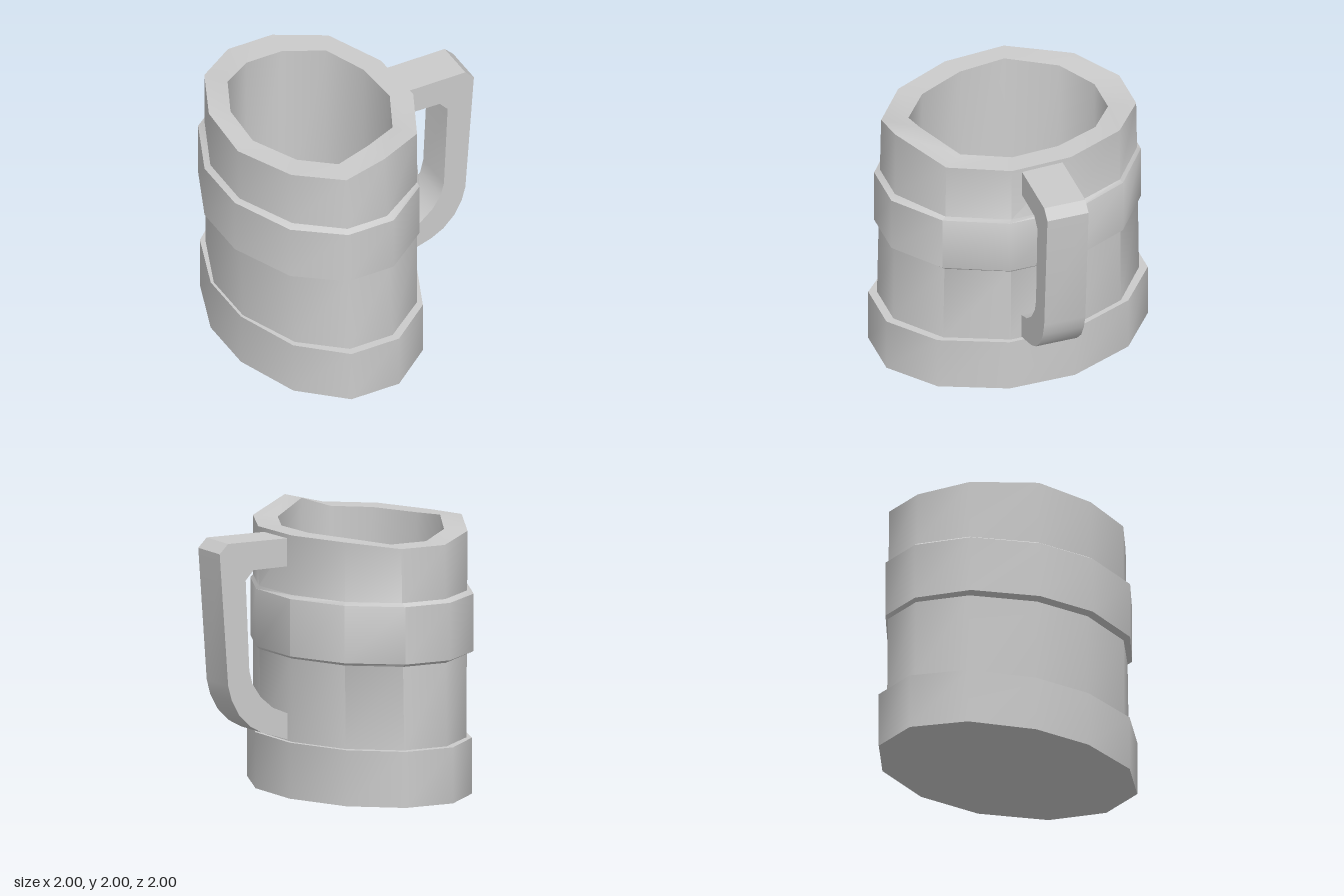
import * as THREE from 'three';
import { toCreasedNormals } from 'three/addons/utils/BufferGeometryUtils.js';

const material = new THREE.MeshStandardMaterial({ color: 0xcccccc });

// Twelve-sided plans as [x, z], counter-clockwise seen from above
const RIM = [[0.46, 0.23], [0.44, -0.23], [0.25, -0.67], [-0.08, -0.915], [-0.44, -0.915], [-0.76, -0.68],
  [-0.97, -0.22], [-0.975, 0.23], [-0.77, 0.66], [-0.45, 0.905], [-0.14, 0.905], [0.26, 0.66]];
const INNER = [[0.3, 0.17], [0.28, -0.19], [0.15, -0.52], [-0.11, -0.71], [-0.4, -0.71], [-0.65, -0.53],
  [-0.82, -0.17], [-0.82, 0.17], [-0.65, 0.52], [-0.41, 0.71], [-0.17, 0.71], [0.14, 0.51]];
const RIM_Y = [1.92, 1.92, 1.92, 1.88, 1.88, 1.92, 1.955, 1.92, 1.92, 1.92, 2.0, 1.92];

// Even plan from five points, mirrored front to back
function plan(side, corner, end, endLeft, cornerLeft, sideLeft) {
  const right = [side, corner, end], left = [endLeft, cornerLeft, sideLeft];
  const back = [...right, ...left].map(([x, z]) => [x, -z]);
  return [side, ...back, sideLeft, cornerLeft, endLeft, end, corner];
}
const BASE = plan([0.47, 0.25], [0.27, 0.73], [-0.07, 1], [-0.46, 1], [-0.78, 0.71], [-0.95, 0.23]);
const BAND = plan([0.465, 0.25], [0.265, 0.69], [-0.09, 0.955], [-0.46, 0.955], [-0.8, 0.7], [-1, 0.23]);
const BODY = plan([0.44, 0.23], [0.25, 0.68], [-0.09, 0.94], [-0.44, 0.94], [-0.75, 0.68], [-0.93, 0.22]);

const mix = (a, b, t) => a.map(([x, z], i) => [x + (b[i][0] - x) * t, z + (b[i][1] - z) * t]);
const loop = (points, y) => points.map(([x, z], i) => [x, Array.isArray(y) ? y[i] : y, z]);
const centre = (y) => loop(BASE.map(() => [-0.25, 0]), y);

// Skin the loops in order, closing to a point where a loop collapses
function skin(loops, crease) {
  const positions = [];
  const same = (a, b) => a.every((v, k) => v === b[k]);
  const tri = (a, b, c) => {
    if (!same(a, b) && !same(b, c) && !same(a, c)) positions.push(...a, ...b, ...c);
  };
  for (let j = 0; j < loops.length - 1; j++) {
    const lower = loops[j], upper = loops[j + 1];
    for (let i = 0; i < lower.length; i++) {
      const n = (i + 1) % lower.length;
      tri(lower[i], lower[n], upper[n]);
      tri(lower[i], upper[n], upper[i]);
    }
  }
  const geometry = new THREE.BufferGeometry();
  geometry.setAttribute('position', new THREE.Float32BufferAttribute(positions, 3));
  return toCreasedNormals(geometry, crease);
}

function addMesh(group, name, geometry) {
  const mesh = new THREE.Mesh(geometry, material);
  mesh.name = name;
  group.add(mesh);
}

export function createModel() {
  const group = new THREE.Group();
  group.name = 'tankard';

  // Hollow vessel: foot, wall, raised band, uneven rim, inside wall and floor
  addMesh(group, 'vessel', skin([
    centre(0), loop(BASE, 0), loop(BASE, 0.41),
    loop(BODY, 0.41), loop(mix(BODY, RIM, 0.4), 1.02),
    loop(BAND, 1.04), loop(BAND, 1.46),
    loop(mix(BODY, RIM, 0.7), 1.485), loop(RIM, RIM_Y),
    loop(INNER, RIM_Y),
    loop(INNER.map(([x, z]) => [x < -0.7 ? x + 0.04 : x - 0.005, z]), 0.3), centre(0.3),
  ], 0.75));

  // Handle: side outline extruded across z
  const outline = [[0.43, 1.89], [0.93, 1.89], [1, 1.82], [0.93, 0.85], [0.9, 0.74], [0.84, 0.63],
    [0.75, 0.54], [0.65, 0.485], [0.43, 0.415], [0.43, 0.605], [0.56, 0.66], [0.66, 0.745],
    [0.73, 0.85], [0.755, 0.95], [0.785, 1.61], [0.72, 1.68], [0.43, 1.685]];
  const shape = new THREE.Shape(outline.map(([x, y]) => new THREE.Vector2(x, y)));
  const handle = new THREE.ExtrudeGeometry(shape, { depth: 0.315, bevelEnabled: false });
  handle.translate(0, 0, -0.165);
  addMesh(group, 'handle', toCreasedNormals(handle, 0.6));

  return group;
}
